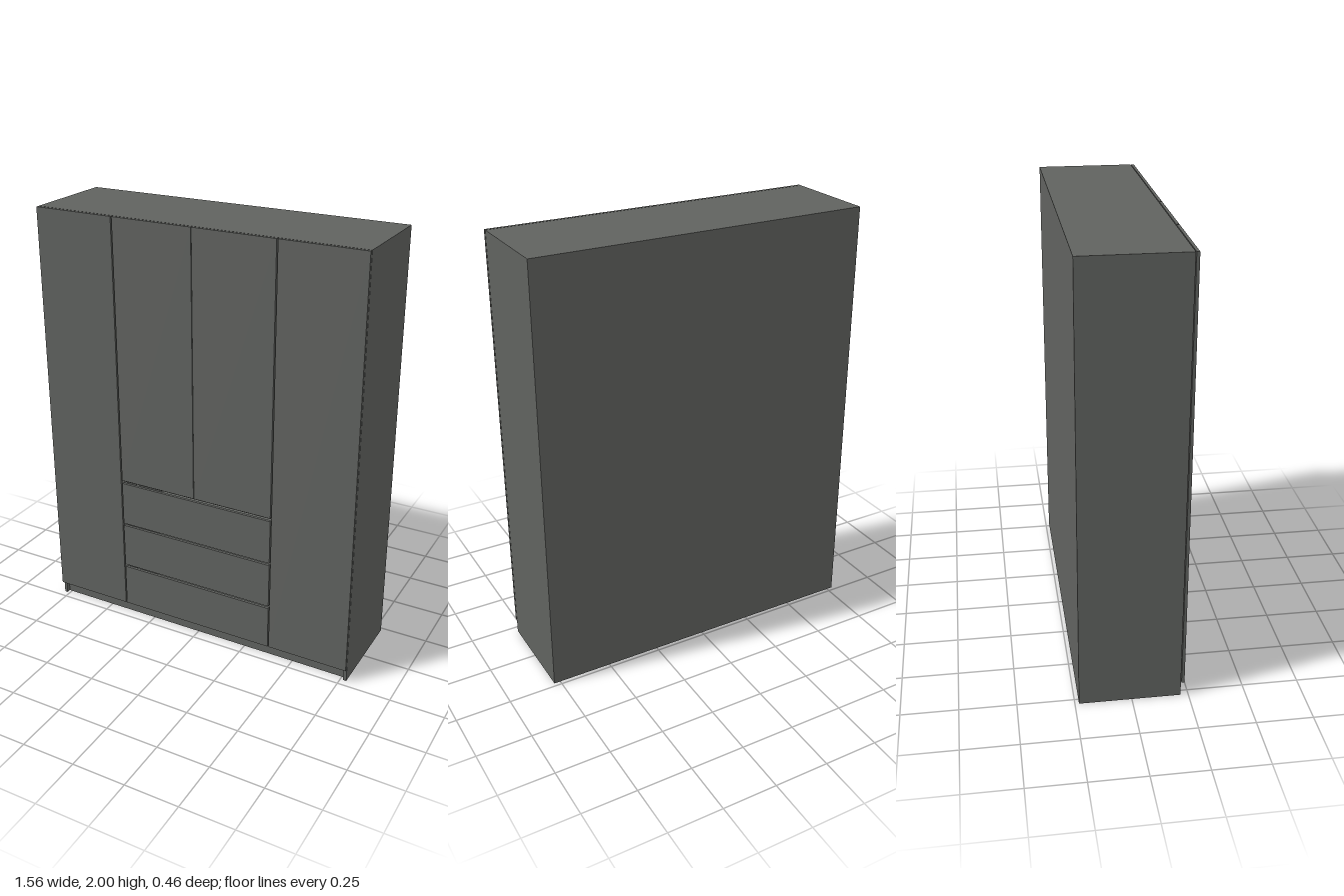
import * as THREE from 'three';

export function createModel() {
  const model = new THREE.Group();
  model.name = 'wardrobe';
  const grey = new THREE.MeshStandardMaterial({ color: 0x60625f });
  grey.name = 'dark grey board';

  // Board given by its minimum and maximum along each axis
  function board(name, x0, x1, y0, y1, z0, z1, parent = model) {
    const mesh = new THREE.Mesh(new THREE.BoxGeometry(x1 - x0, y1 - y0, z1 - z0), grey);
    mesh.name = name;
    mesh.position.set((x0 + x1) / 2, (y0 + y1) / 2, (z0 + z1) / 2);
    parent.add(mesh);
    return mesh;
  }

  const W = 0.779, H = 2, T = 0.015;       // half width, height, board thickness
  const back = -0.232, front = 0.216;      // carcass depth
  const doorBack = 0.219, doorFront = 0.232;
  const base = 0.065, split = 0.39;        // plinth height, divider position

  // Carcass
  const carcass = new THREE.Group();
  carcass.name = 'carcass';
  model.add(carcass);
  const inner = W - T, rear = back + 0.006;
  board('backPanel', -W, W, 0, H, back, rear, carcass);
  board('topPanel', -inner, inner, H - T, H, rear, front, carcass);
  for (const s of [-1, 1]) {
    const side = s < 0 ? 'right' : 'left';
    const outer = s * (W - T / 2), mid = s * split;
    board(side + 'SidePanel', outer - T / 2, outer + T / 2, 0, H, rear, front, carcass);
    board(side + 'Divider', mid - T / 2, mid + T / 2, 0, H - T, rear, front - 0.02, carcass);
  }

  // Floor and fixed shelf in each of the three bays
  const bays = [[-inner, -split - T / 2], [-split + T / 2, split - T / 2], [split + T / 2, inner]];
  bays.forEach(([a, b], i) => {
    board('bayFloor' + (i + 1), a, b, base, base + T, rear, front, carcass);
    const y = i === 1 ? 0.732 : 1.65;
    board('bayShelf' + (i + 1), a, b, y, y + T, rear, front - 0.005, carcass);
  });

  // Recessed plinth
  board('plinth', -inner, inner, 0, base, front - 0.035, front - 0.02, carcass);

  // Doors, outer pair full height and inner pair above the drawers
  const gap = 0.003;
  for (const s of [-1, 1]) {
    const side = s < 0 ? 'right' : 'left';
    const door = (name, a, b, y0) =>
      board(name, Math.min(s * a, s * b), Math.max(s * a, s * b), y0, H, doorBack, doorFront);
    door(side + 'OuterDoor', split + gap, W, base);
    door(side + 'InnerDoor', 0.0015, split - gap, 0.746);
  }

  // Drawers with their boxes
  [[base, 0.275], [0.287, 0.505], [0.516, 0.731]].forEach(([y0, y1], i) => {
    const drawer = new THREE.Group();
    drawer.name = 'drawer' + (i + 1);
    model.add(drawer);
    const x = split - gap, bx = split - 0.025, z = back + 0.04;
    const b0 = y0 + 0.03, b1 = y1 - 0.05;
    board('drawerFront', -x, x, y0, y1, doorBack, doorFront, drawer);
    board('drawerBottom', -bx, bx, b0, b0 + 0.006, z, doorBack, drawer);
    board('drawerBack', -bx, bx, b0, b1, z, z + T, drawer);
    for (const s of [-1, 1])
      board('drawerSide', s * bx - T / 2, s * bx + T / 2, b0, b1, z, doorBack, drawer);
  });

  return model;
}
